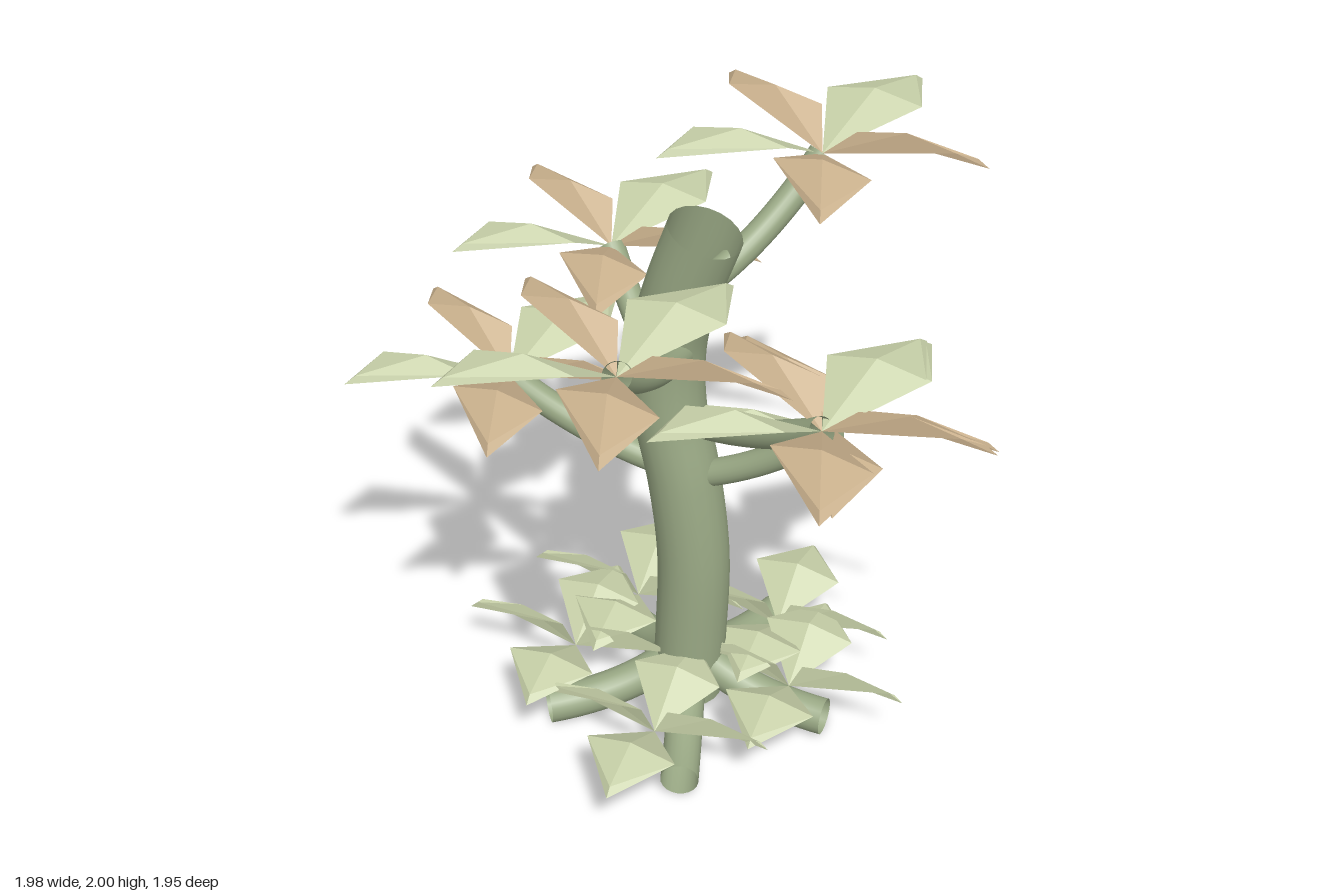
import * as THREE from 'three';

const V = (x, y, z) => new THREE.Vector3(x, y, z);

export function createModel() {
  const model = new THREE.Group();
  model.name = 'tree';
  const material = (name, color, flatShading = false) => {
    const m = new THREE.MeshStandardMaterial({ color, flatShading, side: THREE.DoubleSide });
    m.name = name;
    return m;
  };
  const bark = material('bark green', 0x9aa985);
  const leaf = material('pale leaf green', 0xc7d0a8, true);
  const tan = material('tan leaf', 0xcab18d, true);

  const tube = (name, curve, radius, segments) => {
    const mesh = new THREE.Mesh(new THREE.TubeGeometry(curve, segments, radius, 20), bark);
    mesh.name = name;
    model.add(mesh);
  };

  // Gently swaying hollow trunk
  tube('trunk', new THREE.CatmullRomCurve3([
    V(-0.04, 0.05, -0.145), V(-0.025, 0.3, -0.145), V(-0.018, 0.6, -0.145),
    V(-0.05, 0.9, -0.145), V(-0.1, 1.15, -0.15), V(-0.1, 1.38, -0.15),
    V(-0.05, 1.58, -0.14), V(0.02, 1.78, -0.135),
  ]), 0.115, 48);

  // Folded diamond leaf: raised ridge, lower side corners, tip bent down
  function leafGeometry(angle, length) {
    const c = Math.cos(angle) * length, s = Math.sin(angle) * length;
    const root = [0, 0, 0];
    const left = [c / 2 - 0.15, 0.085, s / 2 - 0.01];
    const right = [c / 2 + 0.15, 0.085, s / 2 + 0.01];
    const ridge = [c / 2, 0.115, s / 2];
    const ridgeEnd = [c * 0.93, 0.075, s * 0.93];
    const tip = [c, 0.05, s];
    const faces = [
      root, left, ridge, root, ridge, right,
      left, ridgeEnd, ridge, ridge, ridgeEnd, right,
      left, tip, ridgeEnd, ridgeEnd, tip, right,
    ];
    // Turn every face upward
    if (s > 0) {
      for (let i = 0; i < faces.length; i += 3) {
        [faces[i + 1], faces[i + 2]] = [faces[i + 2], faces[i + 1]];
      }
      for (let i = 0; i < faces.length; i += 3) {
        [faces[i + 1], faces[i + 2]] = [faces[i + 2], faces[i + 1]];
      }
    } else {
      for (let i = 0; i < faces.length; i += 3) {
        [faces[i + 1], faces[i + 2]] = [faces[i + 2], faces[i + 1]];
      }
    }
    const g = new THREE.BufferGeometry();
    g.setAttribute('position', new THREE.Float32BufferAttribute(faces.flat(), 3));
    g.computeVertexNormals();
    return g;
  }

  function cluster(name, position, length, colours) {
    const group = new THREE.Group();
    group.name = name;
    group.position.copy(position);
    colours.forEach((colour, i) => {
      const mesh = new THREE.Mesh(
        leafGeometry((i / colours.length) * Math.PI * 2, length), colour);
      mesh.name = 'leaf';
      group.add(mesh);
    });
    model.add(group);
  }

  // Curved branches, each ending in a five-leaf cluster
  const branches = [
    [V(-0.1, 0.93, -0.14), V(-0.58, 1.2, -0.04)],
    [V(0.0, 0.92, -0.14), V(0.43, 1.2, -0.135)],
    [V(-0.1, 1.15, -0.18), V(-0.44, 1.43, -0.51)],
    [V(-0.06, 1.14, -0.11), V(0.5, 1.43, 0.2)],
    [V(-0.04, 1.38, -0.08), V(0.01, 1.67, 0.49)],
    [V(0.02, 1.6, -0.18), V(0.24, 1.89, -0.51)],
  ];
  for (const [start, end] of branches) {
    const bend = start.clone().lerp(end, 0.5);
    bend.y = start.y + (end.y - start.y) * 0.27;
    tube('branch', new THREE.QuadraticBezierCurve3(start, bend, end), 0.043, 16);
    cluster('leafCluster', end, 0.5, [tan, tan, leaf, tan, leaf]);
  }

  // Five roots spread around the foot
  for (let i = 0; i < 5; i++) {
    const a = (i / 5) * Math.PI * 2;
    const out = (r, y) => V(-0.03 + Math.cos(a) * r, y, -0.14 + Math.sin(a) * r);
    tube('root', new THREE.QuadraticBezierCurve3(
      out(0.04, 0.2), out(0.2, 0.07), out(0.47, 0.064)), 0.06, 14);
  }

  // Low four-leaf clusters around the foot
  const low = [[0.32, -0.13], [0, 0.23], [-0.4, -0.06], [-0.31, -0.38], [0.18, -0.41]];
  for (const [x, z] of low) {
    cluster('groundLeafCluster', V(x, 0.165, z), 0.38, [leaf, leaf, leaf, leaf]);
  }
  return model;
}
